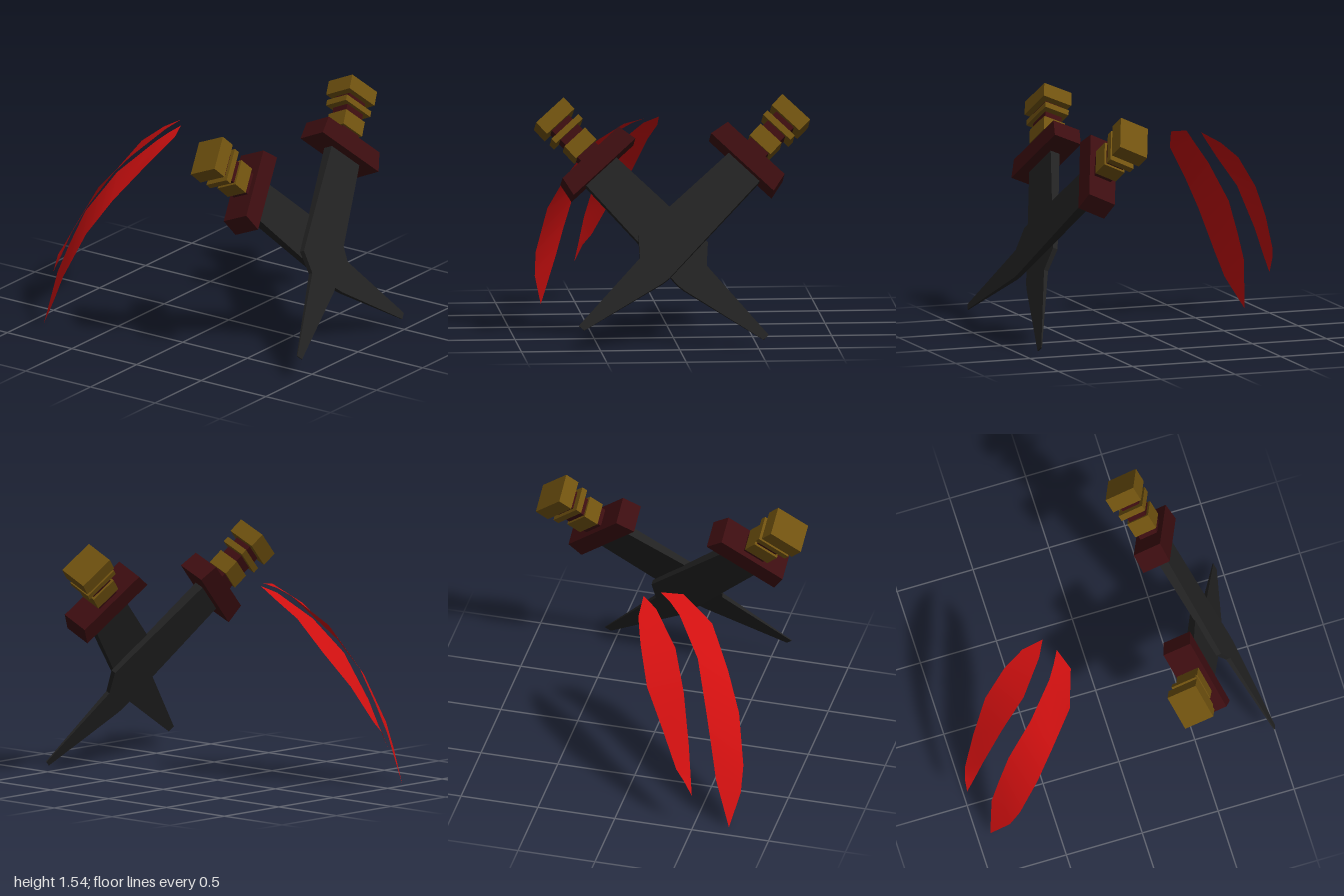
import * as THREE from 'three';

const mat = (name, color, side = THREE.FrontSide) => {
  const m = new THREE.MeshStandardMaterial({ color, side });
  m.name = name;
  return m;
};

export function createModel() {
  const steel = mat('black steel', 0x222222);
  const maroon = mat('dark maroon', 0x3c0d10);
  const gold = mat('old gold', 0x70520f);
  const red = mat('bright red', 0xd01010, THREE.DoubleSide);
  const model = new THREE.Group();

  const add = (group, name, geometry, material) => {
    const mesh = new THREE.Mesh(geometry, material);
    mesh.name = name;
    group.add(mesh);
  };

  // Flat plate from [across, distance from pommel] points, centred in thickness
  const plate = (points, thickness) => {
    const shape = new THREE.Shape(points.map(([t, s]) => new THREE.Vector2(t, -s)));
    return new THREE.ExtrudeGeometry(shape, { depth: thickness, bevelEnabled: false })
      .translate(0, 0, -thickness / 2);
  };
  const block = (s0, s1, width, thickness) =>
    new THREE.BoxGeometry(width, s1 - s0, thickness).translate(0, -(s0 + s1) / 2, 0);

  // Dagger from pommel end to tip; side mirrors the single-edged blade
  const dagger = (name, pommel, tip, side) => {
    const g = new THREE.Group();
    g.name = name;
    add(g, 'pommel', block(0, 0.1, 0.24, 0.2), gold);
    add(g, 'grip', block(0.08, 0.4, 0.15, 0.12), maroon);
    add(g, 'gripRing', block(0.14, 0.18, 0.235, 0.17), gold);
    add(g, 'gripCollar', block(0.23, 0.335, 0.18, 0.15), gold);
    add(g, 'guard', plate([[-0.245, 0.372], [0.245, 0.372], [0.27, 0.5], [-0.27, 0.5]], 0.19), maroon);

    // Blade thins evenly toward the tip
    const outline = [[-0.11, 0.48], [0.155, 0.48], [0.175, 1.36], [0.168, 1.41],
      [0.02, 1.98], [-0.026, 1.98], [-0.048, 1.39], [-0.158, 1.286]];
    const blade = plate(outline.map(([t, s]) => [t * side, s]), 1);
    const p = blade.attributes.position;
    for (let i = 0; i < p.count; i++) {
      const k = (-p.getY(i) - 0.48) / 1.5;
      p.setZ(i, p.getZ(i) * THREE.MathUtils.lerp(0.065, 0.006, k));
    }
    blade.computeVertexNormals();
    add(g, 'blade', blade, steel);

    // Lean the dagger back so its flat faces forward and up
    const up = new THREE.Vector3().subVectors(pommel, tip).normalize();
    const normal = new THREE.Vector3(0, -up.z, up.y).normalize();
    const across = new THREE.Vector3().crossVectors(up, normal);
    g.quaternion.setFromRotationMatrix(new THREE.Matrix4().makeBasis(across, up, normal));
    g.position.copy(pommel);
    model.add(g);
  };
  dagger('frontDagger', new THREE.Vector3(0.778, 1.419, 0.405), new THREE.Vector3(-0.62, 0.14, 0.99), 1);
  dagger('rearDagger', new THREE.Vector3(-0.778, 1.419, 0.385), new THREE.Vector3(0.55, 0.06, 0.955), -1);

  // Curved crescent sheet lofted between left and right edge points
  const crescent = (name, rungs) => {
    const geo = new THREE.BufferGeometry();
    geo.setAttribute('position', new THREE.Float32BufferAttribute(rungs.flat(), 3));
    const index = [];
    for (let i = 0; i < rungs.length - 1; i++) {
      const a = i * 2;
      index.push(a, a + 2, a + 1, a + 1, a + 2, a + 3);
    }
    // Wind the sheet so it faces up and back
    for (let i = 0; i < index.length; i += 3) [index[i + 1], index[i + 2]] = [index[i + 2], index[i + 1]];
    geo.setIndex(index);
    geo.computeVertexNormals();
    add(model, name, geo, red);
  };
  crescent('outerSlash', [
    [-0.114, 1.275, -0.29, -0.113, 1.275, -0.291],
    [-0.25, 1.25, -0.24, -0.19, 1.24, -0.335],
    [-0.455, 1.11, -0.31, -0.262, 1.19, -0.386],
    [-0.6, 0.88, -0.47, -0.426, 1.0, -0.56],
    [-0.705, 0.66, -0.6, -0.526, 0.73, -0.735],
    [-0.768, 0.36, -0.735, -0.585, 0.5, -0.82],
    [-0.768, 0.2, -0.8, -0.627, 0.32, -0.878],
    [-0.721, 0, -0.915, -0.72, 0, -0.915],
  ]);
  crescent('innerSlash', [
    [-0.02, 1.275, -0.355, -0.02, 1.2, -0.487],
    [-0.114, 1.228, -0.407, -0.07, 1.09, -0.624],
    [-0.28, 1.06, -0.56, -0.15, 0.88, -0.772],
    [-0.38, 0.85, -0.735, -0.28, 0.66, -0.89],
    [-0.45, 0.56, -0.88, -0.394, 0.43, -0.98],
    [-0.48, 0.38, -0.95, -0.45, 0.36, -1],
    [-0.501, 0.26, -1, -0.5, 0.26, -1],
  ]);
  return model;
}
